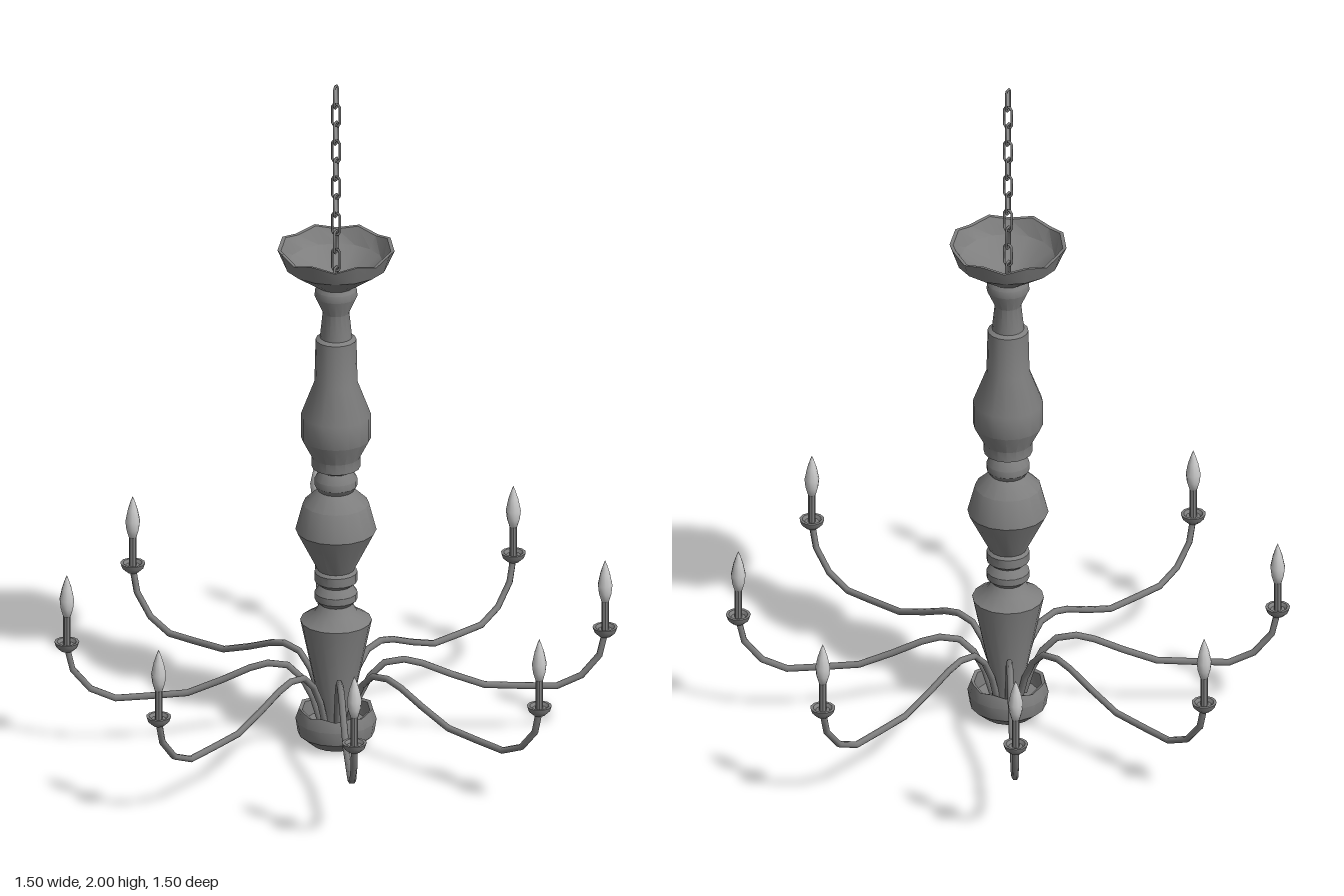
import * as THREE from 'three';
import { toCreasedNormals } from 'three/addons/utils/BufferGeometryUtils.js';

const metal = new THREE.MeshStandardMaterial({ color: 0x7e7e7e, side: THREE.DoubleSide });
const pale = new THREE.MeshStandardMaterial({ color: 0xcccccc, side: THREE.DoubleSide });

function addMesh(parent, name, geometry, material = metal) {
  const mesh = new THREE.Mesh(geometry, material);
  mesh.name = name;
  parent.add(mesh);
  return mesh;
}

// Profiles are [radius, height], listed from the bottom up
const lathe = (profile, sides) =>
  new THREE.LatheGeometry(profile.map(([r, y]) => new THREE.Vector2(r, y)), sides);

// Smooth around the axis, sharp at the turned edges
const turned = (profile, sides) => toCreasedNormals(lathe(profile, sides), 0.55);

// Lets a tube place its rings exactly on the control points
function tube(points, radius, sides, closed = false) {
  const curve = new THREE.CatmullRomCurve3(points, closed);
  curve.getUtoTmapping = (u) => u;
  return new THREE.TubeGeometry(curve, closed ? points.length : points.length - 1, radius, sides, closed);
}

// A turned dish whose rim vertices alternate up and down
function scallopedDish(profile, minY, amount) {
  const geometry = lathe(profile, 16);
  const p = geometry.attributes.position;
  for (let i = 0; i < p.count; i++) {
    if (p.getY(i) < minY) continue;
    const wave = Math.cos(8 * Math.atan2(p.getX(i), p.getZ(i)));
    p.setY(i, p.getY(i) + amount * wave);
  }
  return toCreasedNormals(geometry, 0.55);
}

function makeArm() {
  const arm = new THREE.Group();
  arm.name = 'arm';

  const path = [
    [0.045, 0.07], [0.065, 0.14], [0.095, 0.2], [0.135, 0.24], [0.19, 0.248], [0.24, 0.235],
    [0.32, 0.2], [0.415, 0.164], [0.52, 0.158], [0.615, 0.154], [0.685, 0.185], [0.735, 0.245], [0.75, 0.31],
  ].map(([r, y]) => new THREE.Vector3(r, y, 0));
  addMesh(arm, 'armTube', tube(path, 0.0095, 6));

  const cup = turned([[0, 0.302], [0.017, 0.303], [0.03, 0.315], [0.035, 0.33], [0.027, 0.33], [0.02, 0.322], [0, 0.32]], 12);
  const candle = turned([[0.0105, 0.315], [0.0105, 0.412], [0, 0.412]], 8);
  const bulb = lathe([[0, 0.405], [0.011, 0.408], [0.018, 0.432], [0.021, 0.458], [0.014, 0.492], [0.006, 0.517], [0, 0.532]], 10);
  addMesh(arm, 'candleCup', cup).position.x = 0.751;
  addMesh(arm, 'candle', candle).position.x = 0.751;
  addMesh(arm, 'flameBulb', bulb, pale).position.x = 0.751;
  return arm;
}

export function createModel() {
  const model = new THREE.Group();
  model.name = 'chandelier';

  // Turned central column
  addMesh(model, 'column', turned([
    [0.045, 0.05], [0.045, 0.11], [0.1, 0.375], [0.06, 0.4],
    [0.045, 0.425], [0.06, 0.44], [0.06, 0.46], [0.045, 0.482],
    [0.06, 0.495], [0.06, 0.522], [0.052, 0.53],
    [0.113, 0.65], [0.092, 0.73], [0.05, 0.77],
    [0.06, 0.785], [0.06, 0.805], [0.045, 0.83], [0.068, 0.842], [0.068, 0.872],
    [0.098, 0.93], [0.098, 1.0], [0.06, 1.1], [0.057, 1.228],
    [0.045, 1.235], [0.037, 1.31], [0.06, 1.36], [0.058, 1.38], [0.045, 1.4],
  ], 16));

  // Open bowl that the arms rise from
  addMesh(model, 'bottomBowl', scallopedDish([
    [0, 0], [0.07, 0.003], [0.107, 0.035], [0.113, 0.075], [0.103, 0.108], [0.094, 0.104], [0.09, 0.06], [0, 0.045],
  ], 0.1, 0.004));

  // Scalloped canopy dish
  addMesh(model, 'topDish', scallopedDish([
    [0, 1.388], [0.05, 1.39], [0.145, 1.455], [0.163, 1.503], [0.153, 1.502], [0.132, 1.46], [0.045, 1.405], [0, 1.402],
  ], 1.49, 0.007));

  // Eight evenly spaced arms
  for (let i = 0; i < 8; i++) {
    const arm = makeArm();
    arm.rotation.y = -THREE.MathUtils.degToRad(17.5 + 45 * i);
    model.add(arm);
  }

  // Chain of squarish links, each turned a quarter from the last
  const chain = new THREE.Group();
  chain.name = 'chain';
  model.add(chain);
  const corners = [[0.0115, 0.024], [0.006, 0.0325], [-0.006, 0.0325], [-0.0115, 0.024]];
  const outline = [1, -1].flatMap((s) => corners.map(([x, y]) => new THREE.Vector3(s * x, s * y, 0)));
  const linkGeometry = tube(outline, 0.0038, 5, true);
  for (let i = 0; i < 11; i++) {
    const link = addMesh(chain, 'chainLink', linkGeometry);
    link.position.y = 1.9637 - 0.055 * i;
    link.rotation.y = i % 2 ? 0 : Math.PI / 2;
  }
  return model;
}
